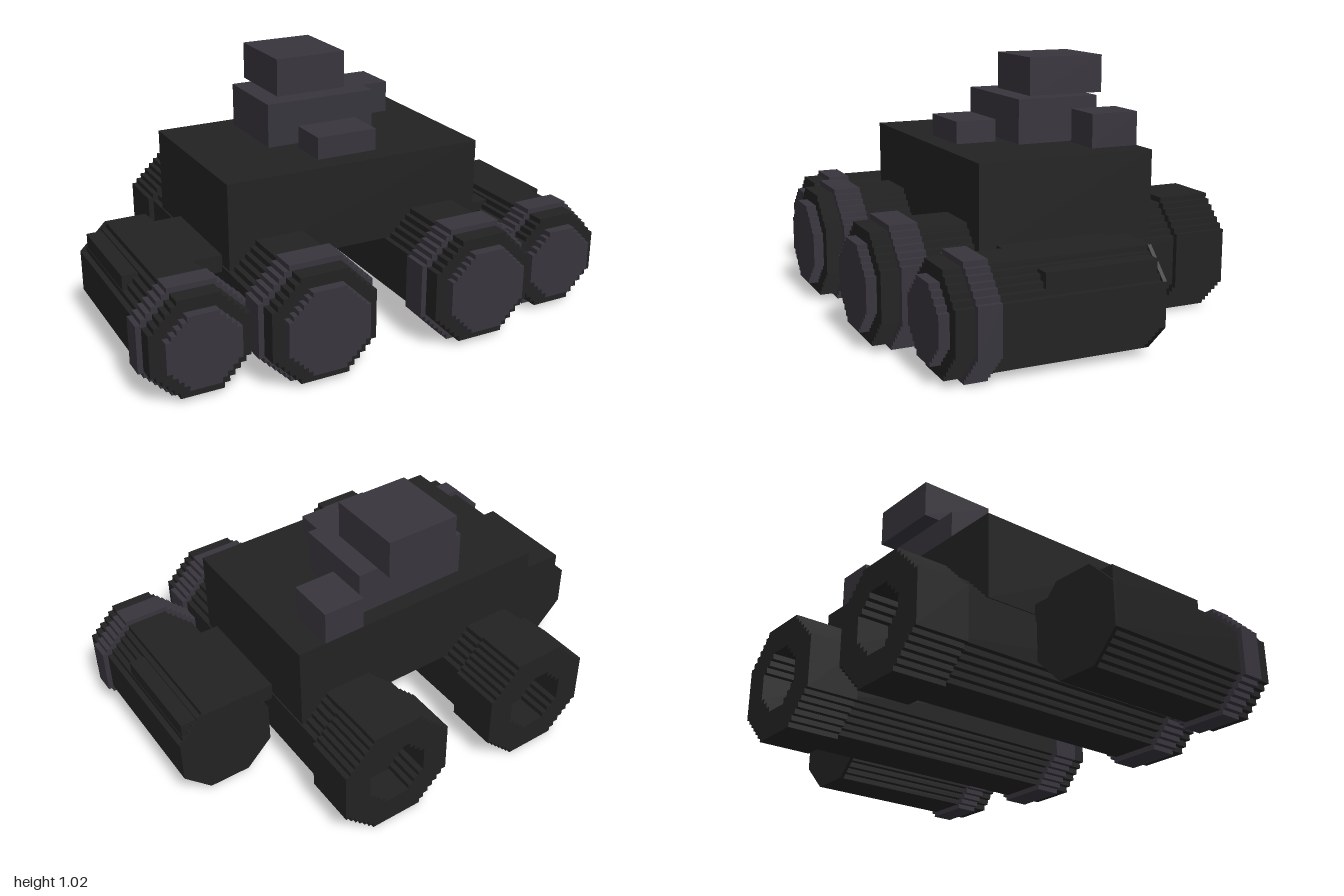
import * as THREE from 'three';

const dark = new THREE.MeshStandardMaterial({ color: 0x222222 });
dark.name = 'charcoal';
const grey = new THREE.MeshStandardMaterial({ color: 0x37343c });
grey.name = 'slate grey';

// Octagon outline of radius r and half flat f; the diagonals become n stair steps (0 = straight)
function octagon(r, f, n) {
  const corner = [[r, f]];
  const s = (r - f) / (n || 1);
  for (let i = 0; i < n; i++) {
    corner.push([r - (i + 1) * s, f + i * s], [r - (i + 1) * s, f + (i + 1) * s]);
  }
  if (n === 0) corner.push([f, r]);
  const points = [];
  for (let q = 0; q < 4; q++) {
    const c = Math.round(Math.cos(q * Math.PI / 2)), s2 = Math.round(Math.sin(q * Math.PI / 2));
    for (const [x, y] of corner) points.push(new THREE.Vector2(c * x - s2 * y, s2 * x + c * y));
  }
  return points;
}

function tube(name, material, r, f, n, z0, z1, hole) {
  const shape = new THREE.Shape(octagon(r, f, n));
  if (hole) shape.holes.push(new THREE.Path(octagon(hole, hole * 0.45, 3).reverse()));
  const geometry = new THREE.ExtrudeGeometry(shape, { depth: z1 - z0, bevelEnabled: false });
  geometry.translate(0, 0, z0);
  const mesh = new THREE.Mesh(geometry, material);
  mesh.name = name;
  return mesh;
}

function box(name, material, x0, x1, y0, y1, z0, z1) {
  const mesh = new THREE.Mesh(new THREE.BoxGeometry(x1 - x0, y1 - y0, z1 - z0), material);
  mesh.position.set((x0 + x1) / 2, (y0 + y1) / 2, (z0 + z1) / 2);
  mesh.name = name;
  return mesh;
}

export function createModel() {
  const model = new THREE.Group();
  model.name = 'opticalDevice';

  // Central housing and the blocks on top of it
  model.add(
    box('housing', dark, -0.555, 0.555, 0.34, 0.69, -0.41, 0.32),
    box('lowerTurret', grey, -0.24, 0.24, 0.69, 0.87, -0.34, 0.01),
    box('upperTurret', grey, -0.155, 0.155, 0.87, 1.025, -0.41, -0.08),
    box('frontBlock', grey, -0.13, 0.13, 0.69, 0.78, 0.06, 0.23),
    box('sideKnob', grey, 0.27, 0.44, 0.69, 0.825, -0.41, -0.21)
  );

  for (const side of [-1, 1]) {
    const label = side > 0 ? 'left' : 'right';

    // Long inner barrel with a hollow eyepiece at the back
    const inner = new THREE.Group();
    inner.name = label + 'InnerBarrel';
    inner.position.set(side * 0.345, 0.235, 0);
    inner.add(
      tube('barrel', dark, 0.213, 0.1, 5, -0.61, 0.7),
      tube('frontRing', grey, 0.235, 0.11, 6, 0.52, 0.63),
      tube('lens', grey, 0.166, 0.07, 5, 0.7, 0.74),
      tube('eyepiece', dark, 0.235, 0.11, 6, -0.74, -0.52, 0.125)
    );
    model.add(inner);

    // Short outer barrel
    const outer = new THREE.Group();
    outer.name = label + 'OuterBarrel';
    outer.position.set(side * 0.785, 0.215, 0);
    outer.add(
      tube('barrel', dark, 0.194, 0.085, 5, -0.2, 0.59),
      tube('rearCap', dark, 0.194, 0.085, 0, -0.215, -0.2),
      tube('frontRing', grey, 0.215, 0.095, 6, 0.43, 0.52),
      tube('lens', grey, 0.145, 0.062, 4, 0.59, 0.63)
    );
    model.add(outer);

    // Bracket joining the outer barrel to the housing
    const a = side * 0.54, b = side * 0.955;
    model.add(box(label + 'Bracket', dark, Math.min(a, b), Math.max(a, b), 0.31, 0.38, -0.19, 0.25));
  }
  return model;
}
